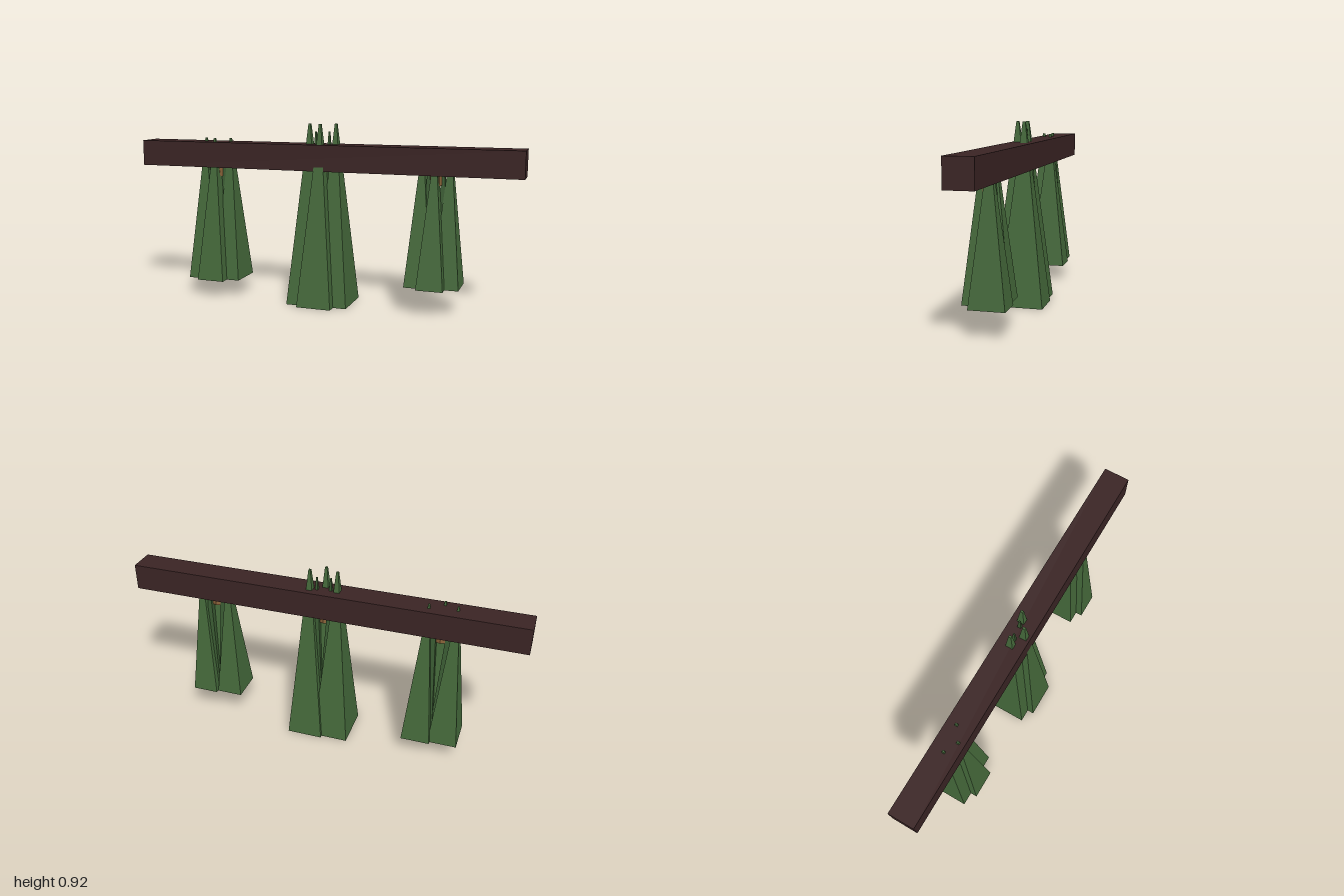
import * as THREE from 'three';

const paint = (color) => new THREE.MeshStandardMaterial({ color, flatShading: true });

export function createModel() {
  const model = new THREE.Group();
  const wood = paint(0x3a2424);
  const leaf = paint(0x44683a);
  const innerLeaf = paint(0x3a5a32);
  const twine = paint(0x8a6239);

  // Horizontal drying beam
  const beam = new THREE.Mesh(new THREE.BoxGeometry(2, 0.132, 0.132), wood);
  beam.name = 'beam';
  beam.position.set(0, 0.751, -0.009);
  model.add(beam);

  // Four-sided tapering spike, unit half-width at the base, standing on y = 0
  const spike = new THREE.CylinderGeometry(0.06 * Math.SQRT2, Math.SQRT2, 1, 4);
  spike.rotateY(Math.PI / 4).translate(0, 0.5, 0);

  // Leaves of a bundle: x, z, half width, half depth, height
  const leaves = [
    { name: 'frontLeaf', at: [0, 0.025], size: [0.09, 0.92, 0.115], mat: leaf },
    { name: 'leftLeaf', at: [0.067, -0.025], size: [0.09, 0.92, 0.115], mat: leaf },
    { name: 'rightLeaf', at: [-0.067, -0.009], size: [0.09, 0.92, 0.115], mat: leaf },
    { name: 'innerLeftLeaf', at: [0.034, -0.018], size: [0.055, 0.88, 0.075], mat: innerLeaf },
    { name: 'innerRightLeaf', at: [-0.034, -0.009], size: [0.055, 0.88, 0.075], mat: innerLeaf },
  ];

  // Hanging bundles: name, x, bottom, scale of the leaves
  const bundles = [
    ['rightBundle', -0.585, 0.09, 0.81],
    ['middleBundle', 0, 0, 1],
    ['leftBundle', 0.58, 0.135, 0.735],
  ];

  for (const [name, x, bottom, scale] of bundles) {
    const bundle = new THREE.Group();
    bundle.name = name;
    bundle.position.x = x;
    for (const { name: leafName, at, size, mat } of leaves) {
      const mesh = new THREE.Mesh(spike, mat);
      mesh.name = leafName;
      mesh.position.set(at[0], bottom, at[1]);
      mesh.scale.set(size[0] * scale, size[1] * scale, size[2] * scale);
      bundle.add(mesh);
    }
    // Twine binding the bundle under the beam
    const tie = new THREE.Mesh(new THREE.CylinderGeometry(0.03, 0.03, 0.1, 8), twine);
    tie.name = 'tie';
    tie.position.set(0, 0.685, 0);
    bundle.add(tie);
    model.add(bundle);
  }
  return model;
}
